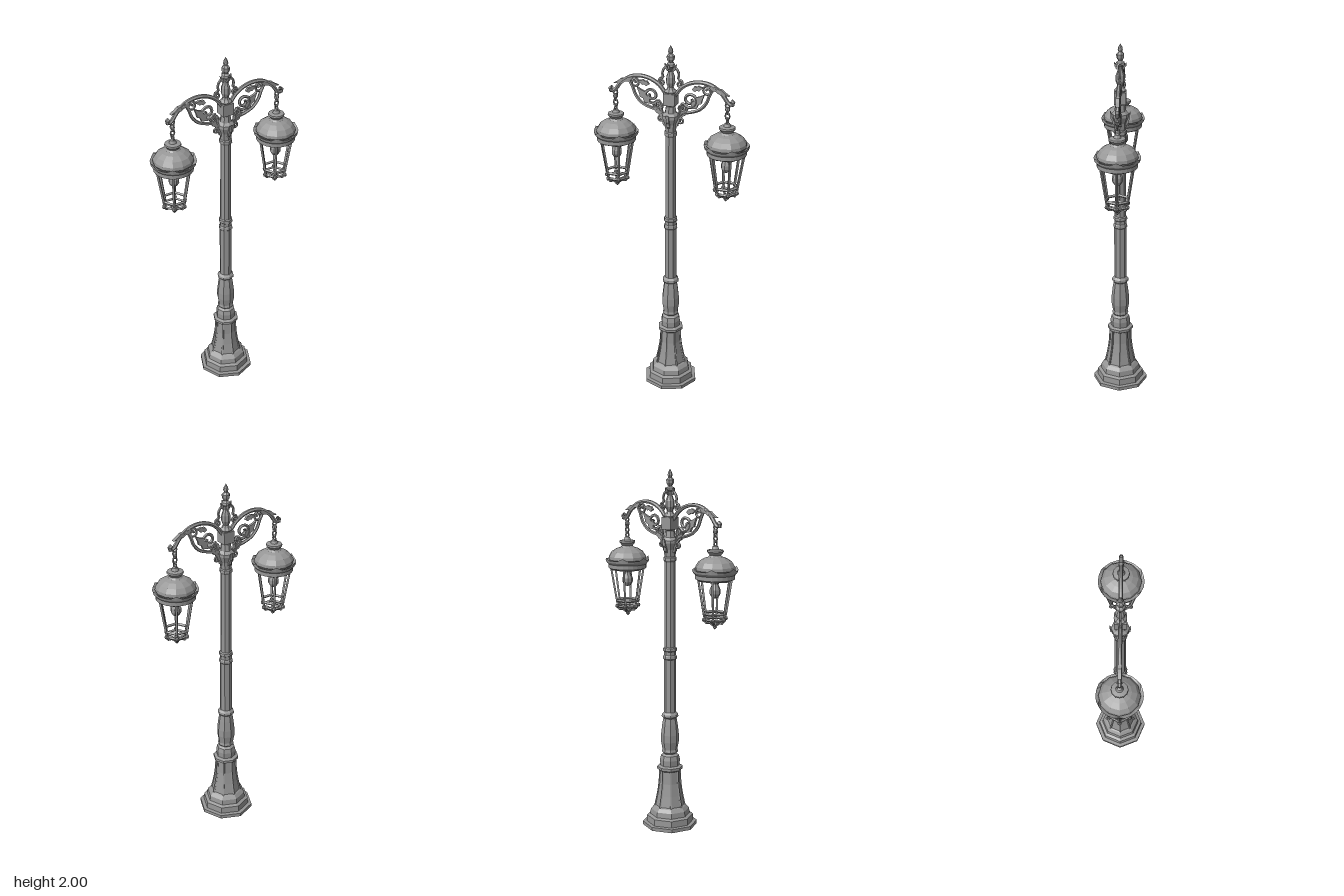
import * as THREE from 'three';

const iron = new THREE.MeshStandardMaterial({ color: 0x969696, flatShading: true, side: THREE.DoubleSide });
iron.name = 'cast iron grey';

function add(parent, name, geometry, x = 0, y = 0, z = 0) {
  const mesh = new THREE.Mesh(geometry, iron);
  mesh.name = name;
  mesh.position.set(x, y, z);
  parent.add(mesh);
  return mesh;
}
const lathe = (profile, sides) =>
  new THREE.LatheGeometry(profile.map(([r, y]) => new THREE.Vector2(r, y)), sides);
const tube = (points, radius, steps = 16, sides = 5) =>
  new THREE.TubeGeometry(new THREE.CatmullRomCurve3(points.map(p => new THREE.Vector3(p[0], p[1], p[2] || 0))), steps, radius, sides);

// Points of a flat spiral that winds in to its centre
function spiral(cx, cy, radius, start, turns) {
  const points = [];
  for (let i = 0; i <= 14; i++) {
    const t = i / 14, a = start + t * turns * Math.PI * 2, r = radius * (1 - 0.75 * t);
    points.push([cx + r * Math.cos(a), cy + r * Math.sin(a)]);
  }
  return points;
}

// Pointed leaf plate from a base point to a tip
function leaf(x0, y0, x1, y1, width, depth = 0.014) {
  const dx = x1 - x0, dy = y1 - y0, l = Math.hypot(dx, dy), nx = -dy / l * width, ny = dx / l * width;
  const at = (t, s) => [x0 + dx * t + nx * s, y0 + dy * t + ny * s];
  const shape = new THREE.Shape();
  shape.moveTo(x0, y0);
  for (const [t, s] of [[0.25, 0.9], [0.42, 0.6], [0.58, 0.9], [0.75, 0.4], [1, 0], [0.7, -0.5], [0.55, -0.9], [0.4, -0.55], [0.2, -0.9]])
    shape.lineTo(...at(t, s));
  const g = new THREE.ExtrudeGeometry(shape, { depth, bevelEnabled: false });
  return g.translate(0, 0, -depth / 2);
}

function makeColumn() {
  const column = new THREE.Group();
  column.name = 'column';
  add(column, 'steppedFoot', lathe([[0, 0], [0.153, 0], [0.153, 0.02], [0.132, 0.022], [0.13, 0.058],
    [0.112, 0.066], [0.108, 0.095], [0.092, 0.112], [0.082, 0.118]], 8));
  add(column, 'pedestal', lathe([[0.082, 0.118], [0.07, 0.18], [0.059, 0.25], [0.056, 0.32], [0.072, 0.33],
    [0.072, 0.345], [0.054, 0.352], [0.056, 0.385], [0.05, 0.41], [0.036, 0.42]], 8));
  add(column, 'vase', lathe([[0.036, 0.42], [0.046, 0.43], [0.042, 0.445], [0.05, 0.49], [0.05, 0.53], [0.043, 0.59],
    [0.037, 0.625], [0.047, 0.635], [0.045, 0.648], [0.034, 0.66]], 8));
  add(column, 'shaft', lathe([[0.034, 0.66], [0.034, 0.96], [0.039, 0.965], [0.037, 0.98], [0.033, 0.985], [0.033, 1.005],
    [0.039, 1.01], [0.037, 1.025], [0.031, 1.03], [0.029, 1.5]], 8));
  add(column, 'capital', lathe([[0.029, 1.5], [0.036, 1.51], [0.035, 1.525], [0.03, 1.53], [0.034, 1.57], [0.048, 1.605],
    [0.047, 1.62], [0.032, 1.635], [0.026, 1.67], [0, 1.68]], 8));
  // Raised corner ribs of the pedestal
  for (let i = 0; i < 8; i++) {
    const a = i * Math.PI / 4, c = Math.cos(a), s = Math.sin(a);
    add(column, 'pedestalRib', tube([[0.084, 0.115], [0.07, 0.18], [0.06, 0.25], [0.057, 0.325]]
      .map(([r, y]) => [r * c, y, r * s]), 0.006, 6, 4));
  }
  return column;
}

function makeCrown() {
  const crown = new THREE.Group();
  crown.name = 'crown';
  add(crown, 'hubBlock', new THREE.BoxGeometry(0.064, 0.066, 0.064), 0, 1.71, 0);
  add(crown, 'hubNeck', lathe([[0.022, 1.67], [0.03, 1.678], [0.03, 1.742], [0.034, 1.75], [0.022, 1.762], [0.016, 1.775],
    [0.026, 1.8], [0.024, 1.83], [0.013, 1.86], [0.013, 1.88]], 8));
  add(crown, 'finial', lathe([[0.013, 1.88], [0.026, 1.888], [0.022, 1.9], [0.011, 1.908], [0.021, 1.925], [0.022, 1.943],
    [0.01, 1.955], [0.014, 1.967], [0.011, 1.98], [0, 2]], 7));
  // Leaves that clasp the finial stem and the capital
  for (let i = 0; i < 4; i++) {
    const a = i * Math.PI / 2;
    add(crown, 'finialLeaf', leaf(0.015, 1.86, 0.033, 1.9, 0.007, 0.01)).rotation.y = a;
    add(crown, 'capitalLeaf', leaf(0.026, 1.55, 0.054, 1.63, 0.012, 0.016)).rotation.y = a;
  }
  return crown;
}

// Scrolled bracket, built towards +x
function makeArm() {
  const arm = new THREE.Group();
  arm.name = 'arm';
  add(arm, 'mainArc', tube([[0.025, 1.73], [0.06, 1.775], [0.11, 1.806], [0.17, 1.817], [0.23, 1.805], [0.285, 1.765],
    [0.318, 1.722], [0.338, 1.712], [0.345, 1.728], [0.333, 1.737]], 0.011, 28, 6));
  add(arm, 'lowerBrace', tube([[0.03, 1.59], [0.07, 1.635], [0.12, 1.65], [0.165, 1.67], [0.2, 1.71], [0.215, 1.75],
    [0.235, 1.79]], 0.009, 20));
  add(arm, 'bigScroll', tube([[0.045, 1.61], ...spiral(0.108, 1.715, 0.046, -2.6, 1.5)], 0.0085, 34));
  add(arm, 'outerScroll', tube(spiral(0.205, 1.775, 0.03, 0.6, 1.4), 0.0065, 24));
  add(arm, 'innerScroll', tube(spiral(0.062, 1.665, 0.026, 1.5, -1.4), 0.0065, 22));
  add(arm, 'lowerCurl', tube(spiral(0.058, 1.595, 0.018, 2.8, 1.3), 0.006, 18));
  add(arm, 'crownScroll', tube([[0.068, 1.79], [0.06, 1.815], [0.043, 1.82], [0.047, 1.845], [0.036, 1.872], [0.012, 1.89]], 0.007));
  add(arm, 'crownCurl', tube(spiral(0.052, 1.795, 0.018, 0, -1.3), 0.006, 16));
  add(arm, 'broadLeaf', leaf(0.115, 1.67, 0.19, 1.755, 0.024));
  add(arm, 'upperLeaf', leaf(0.12, 1.775, 0.185, 1.79, 0.016));
  add(arm, 'lowLeaf', leaf(0.035, 1.6, 0.1, 1.665, 0.016));
  add(arm, 'arcLeaf', leaf(0.21, 1.803, 0.325, 1.76, 0.015, 0.02));
  // Hanger links between the arm and the lantern
  for (let i = 0; i < 4; i++) {
    const link = add(arm, 'hangerLink', new THREE.TorusGeometry(0.012, 0.0045, 5, 8), 0.315, 1.71 - i * 0.029, 0);
    link.scale.y = 1.45;
    link.rotation.y = i % 2 * Math.PI / 2;
  }
  add(arm, 'hangerBead', new THREE.SphereGeometry(0.014, 7, 5), 0.315, 1.688, 0);
  return arm;
}

function makeLantern() {
  const lantern = new THREE.Group();
  lantern.name = 'lantern';
  add(lantern, 'roof', lathe([[0.098, 1.475], [0.108, 1.488], [0.106, 1.505], [0.09, 1.53], [0.062, 1.548], [0.038, 1.556],
    [0.03, 1.565], [0.045, 1.583], [0.043, 1.592], [0.02, 1.596], [0.014, 1.612], [0, 1.618]], 12));
  // Flared rim with raised points along its edge
  const rim = lathe([[0.096, 1.436], [0.106, 1.44], [0.106, 1.462], [0.118, 1.475], [0.122, 1.488], [0.108, 1.482], [0.098, 1.475]], 24);
  const p = rim.attributes.position;
  for (let i = 0; i < p.count; i++)
    if (i % 7 === 4 && Math.floor(i / 7) % 4 === 2) p.setY(i, 1.502);
  add(lantern, 'rim', rim);
  add(lantern, 'rimUnderside', new THREE.TorusGeometry(0.094, 0.009, 4, 6).rotateX(Math.PI / 2), 0, 1.438, 0);
  // Six bars and feet around an open cage
  for (let i = 0; i < 6; i++) {
    const a = i * Math.PI / 3, c = Math.cos(a), s = Math.sin(a);
    const around = list => list.map(([r, y]) => [r * c, y, r * s]);
    add(lantern, 'cageBar', tube(around([[0.096, 1.445], [0.061, 1.24]]), 0.0075, 1, 4));
    add(lantern, 'cornerKnob', new THREE.SphereGeometry(0.012, 6, 4), 0.062 * c, 1.225, 0.062 * s);
    add(lantern, 'footScroll', tube(around([[0.06, 1.225], [0.05, 1.205], [0.03, 1.205], [0.01, 1.19]]), 0.006, 6, 4));
  }
  add(lantern, 'cageRing', new THREE.TorusGeometry(0.063, 0.008, 4, 6).rotateX(Math.PI / 2), 0, 1.255, 0);
  add(lantern, 'bottomRing', new THREE.TorusGeometry(0.057, 0.007, 4, 6).rotateX(Math.PI / 2), 0, 1.222, 0);
  add(lantern, 'bottomFinial', lathe([[0, 1.168], [0.011, 1.178], [0.009, 1.188], [0.02, 1.197], [0.014, 1.21], [0, 1.214]], 6));
  // Lamp bulb hanging from the roof
  add(lantern, 'bulb', lathe([[0, 1.334], [0.018, 1.341], [0.029, 1.36], [0.029, 1.382], [0.017, 1.41], [0.015, 1.48]], 8));
  add(lantern, 'ceiling', new THREE.CylinderGeometry(0.098, 0.098, 0.006, 12), 0, 1.472, 0);
  lantern.position.x = 0.315;
  return lantern;
}

export function createModel() {
  const model = new THREE.Group();
  model.name = 'streetLamp';
  model.add(makeColumn(), makeCrown());
  // One arm and lantern on each side
  for (const side of ['left', 'right']) {
    const half = new THREE.Group();
    half.name = side + 'Side';
    half.add(makeArm(), makeLantern());
    if (side === 'right') half.rotation.y = Math.PI;
    model.add(half);
  }
  return model;
}
